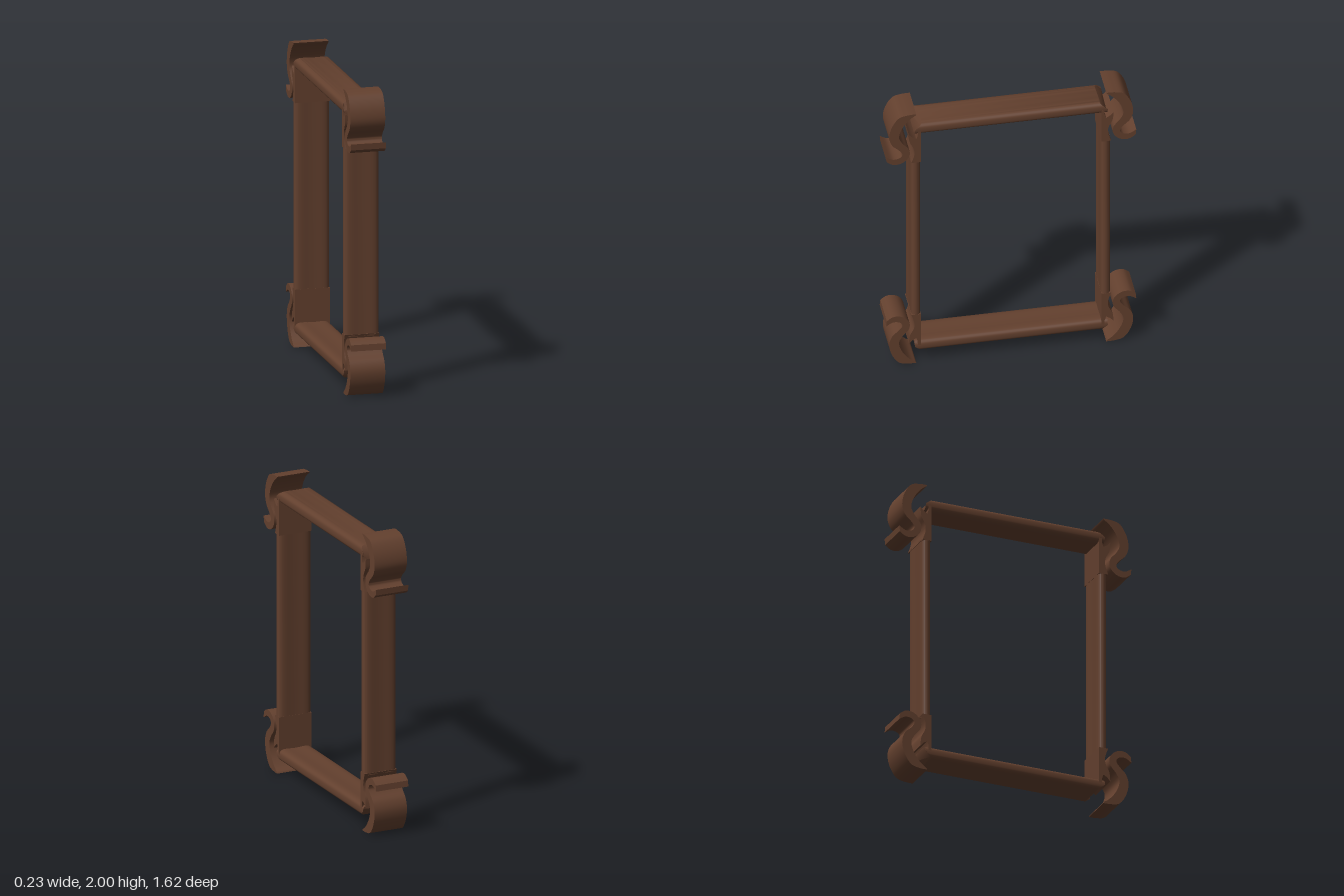
import * as THREE from 'three';
import { toCreasedNormals } from 'three/addons/utils/BufferGeometryUtils.js';

const HALF_W = 0.115;
const wood = new THREE.MeshStandardMaterial({ color: 0x63402e });

function addMesh(parent, name, geometry) {
  const mesh = new THREE.Mesh(toCreasedNormals(geometry, 0.7), wood);
  mesh.name = name;
  parent.add(mesh);
  return mesh;
}

// Rail section: rounded rims with a shallow trough between them
function railSection(halfThick) {
  const pts = [];
  const power = (v) => Math.sign(v) * Math.abs(v) ** 0.6;
  for (let i = 0; i < 48; i++) {
    const a = (i / 48) * Math.PI * 2;
    const x = HALF_W * power(Math.cos(a));
    const trough = 1 - 0.2 * Math.cos((Math.PI / 2) * (x / HALF_W)) ** 2;
    pts.push(new THREE.Vector2(x, halfThick * power(Math.sin(a)) * trough));
  }
  return new THREE.Shape(pts);
}

function rail(halfThick, length) {
  const geo = new THREE.ExtrudeGeometry(railSection(halfThick), { depth: length, bevelEnabled: false });
  return geo.translate(0, 0, -length / 2);
}

// Extrudes a side outline, given as [z, y], across the width
function acrossWidth(shape, bevel) {
  const depth = 2 * (HALF_W - bevel);
  const geo = new THREE.ExtrudeGeometry(shape, {
    depth, curveSegments: 12, bevelEnabled: bevel > 0,
    bevelThickness: bevel, bevelSize: bevel, bevelOffset: -bevel, bevelSegments: 4,
  });
  return geo.translate(0, 0, -depth / 2).rotateY(-Math.PI / 2);
}

const vectors = (list) => list.map(([z, y]) => new THREE.Vector2(z, y - 1));

// S-shaped scroll: two splines meeting at pointed tips
function scrollShape() {
  const outer = vectors([[0.615, 2], [0.67, 1.998], [0.73, 1.98], [0.775, 1.91], [0.79, 1.83], [0.77, 1.767],
    [0.727, 1.724], [0.705, 1.69], [0.72, 1.663], [0.765, 1.655], [0.81, 1.68]]);
  const inner = vectors([[0.806, 1.64], [0.77, 1.615], [0.73, 1.612], [0.69, 1.63], [0.66, 1.67], [0.663, 1.724],
    [0.705, 1.777], [0.727, 1.83], [0.705, 1.9], [0.66, 1.96], [0.62, 1.99]]);
  return new THREE.Shape([
    ...new THREE.SplineCurve(outer).getPoints(44),
    ...new THREE.SplineCurve(inner).getPoints(44),
  ]);
}

// Post end: hollowed beside the scroll, ending in a small hook
function postEndShape() {
  const hollow = vectors([[0.647, 1.612], [0.627, 1.676], [0.631, 1.724], [0.656, 1.777], [0.663, 1.84]]);
  const top = vectors([[0.64, 1.815], [0.615, 1.8], [0.605, 1.83], [0.605, 1.86], [0.585, 1.86], [0.585, 1.612]]);
  return new THREE.Shape([...new THREE.SplineCurve(hollow).getPoints(24), ...top]);
}

export function createModel() {
  const model = new THREE.Group();
  model.name = 'scrolledFrame';
  const body = new THREE.Group();
  body.name = 'frame';
  body.position.y = 1;
  model.add(body);

  // Top and bottom rails, with chamfered outer corners
  for (const side of [1, -1]) {
    const geo = rail(0.046, 1.25);
    const pos = geo.attributes.position;
    for (let i = 0; i < pos.count; i++) {
      const y = pos.getY(i);
      const z = pos.getZ(i);
      if (y > 0) pos.setZ(i, z - Math.sign(z) * 0.05 * (y / 0.04));
    }
    const mesh = addMesh(body, side > 0 ? 'topRail' : 'bottomRail', geo);
    mesh.position.y = side * 0.87;
    if (side < 0) mesh.rotation.z = Math.PI;
  }

  // Front and back posts
  for (const side of [1, -1]) {
    const mesh = addMesh(body, side > 0 ? 'frontPost' : 'backPost', rail(0.034, 1.25).rotateX(-Math.PI / 2));
    mesh.position.z = side * 0.615;
  }

  // Four corners: the same pieces turned half a circle about each axis
  const corners = [
    ['topFrontCorner', 0, 0, 0],
    ['topBackCorner', 0, Math.PI, 0],
    ['bottomBackCorner', Math.PI, 0, 0],
    ['bottomFrontCorner', 0, 0, Math.PI],
  ];
  for (const [name, rx, ry, rz] of corners) {
    const corner = new THREE.Group();
    corner.name = name;
    corner.rotation.set(rx, ry, rz);
    addMesh(corner, 'scroll', acrossWidth(scrollShape(), 0));
    addMesh(corner, 'postEnd', acrossWidth(postEndShape(), 0));
    body.add(corner);
  }
  return model;
}
